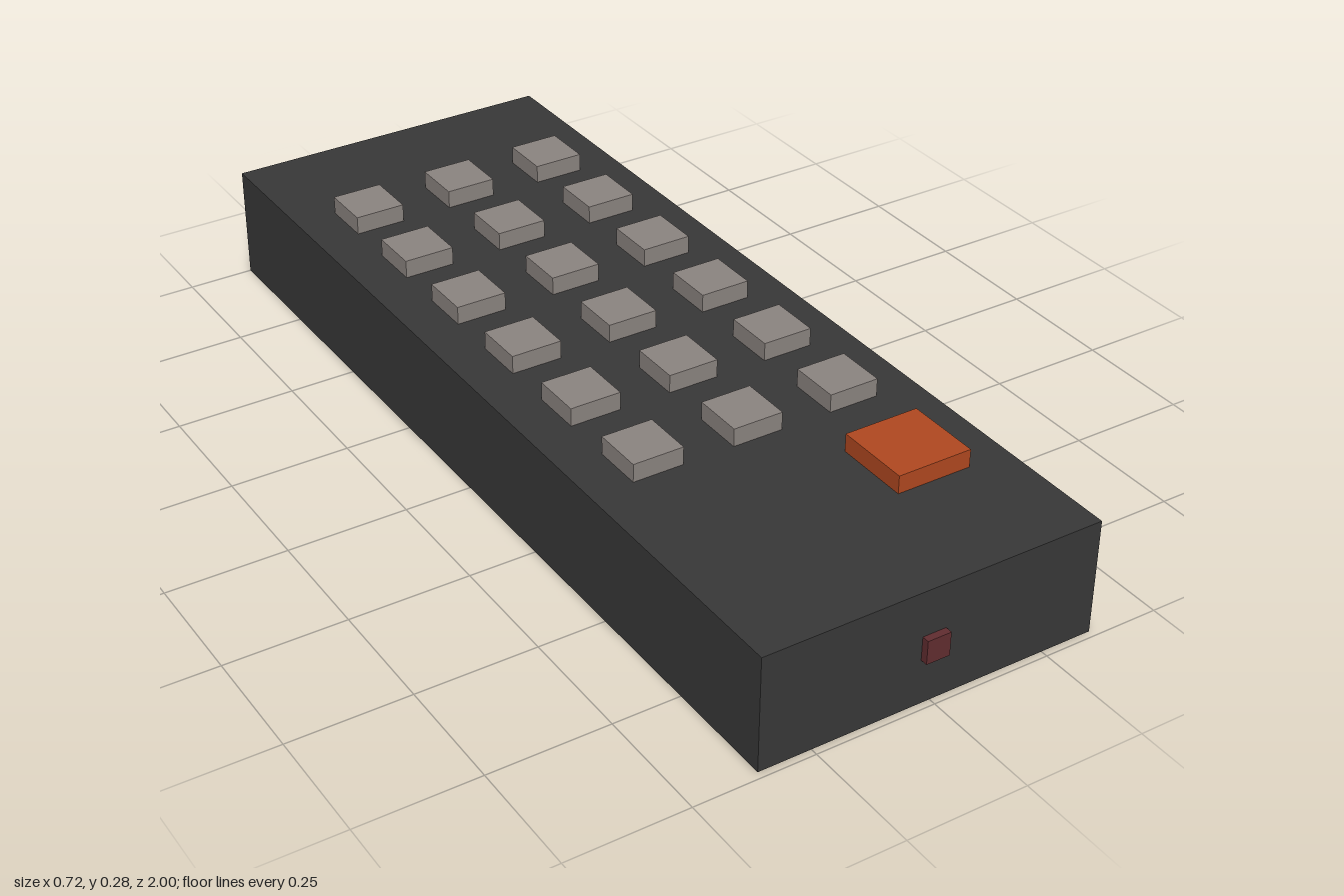
import * as THREE from 'three';

const material = (name, color) => {
  const m = new THREE.MeshStandardMaterial({ color });
  m.name = name;
  return m;
};

// Closed rectangle in plan, counter-clockwise; z is negated because the extrusion is turned upright
const rect = (Type, x, z0, z1) => new Type([
  new THREE.Vector2(-x, -z1), new THREE.Vector2(x, -z1),
  new THREE.Vector2(x, -z0), new THREE.Vector2(-x, -z0),
]);

export function createModel() {
  const casing = material('charcoal casing', 0x383838);
  const grey = material('warm grey keys', 0x8b8480);
  const orange = material('orange key', 0xb04820);
  const red = material('dark red emitter', 0x612d30);

  const model = new THREE.Group();
  model.name = 'remoteControl';

  const add = (parent, name, geometry, mat, x, y, z) => {
    const mesh = new THREE.Mesh(geometry, mat);
    mesh.name = name;
    mesh.position.set(x, y, z);
    parent.add(mesh);
  };

  const halfWidth = 0.36, back = -1, front = 0.985, top = 0.242, recess = 0.17;

  // Casing: lower shell with the open battery recess, closed by a top slab
  const body = new THREE.Group();
  body.name = 'body';
  model.add(body);
  const outline = rect(THREE.Shape, halfWidth, back, front);
  outline.holes.push(rect(THREE.Path, 0.22, -0.87, -0.15));
  const shell = new THREE.ExtrudeGeometry(outline, { depth: recess, bevelEnabled: false });
  shell.rotateX(-Math.PI / 2);
  add(body, 'lowerShell', shell, casing, 0, 0, 0);
  const slab = new THREE.BoxGeometry(2 * halfWidth, top - recess, front - back);
  add(body, 'topSlab', slab, casing, 0, (top + recess) / 2, (front + back) / 2);

  // Key grid: three columns by six rows
  const keys = new THREE.Group();
  keys.name = 'keys';
  model.add(keys);
  const keyHeight = 0.038, keyY = top + keyHeight / 2;
  const key = new THREE.BoxGeometry(0.107, keyHeight, 0.107);
  for (let row = 0; row < 6; row++) {
    for (let col = -1; col <= 1; col++) {
      add(keys, 'key', key, grey, col * 0.216, keyY, -0.678 + row * 0.215);
    }
  }

  // Power key and the emitter on the front end
  add(model, 'powerKey', new THREE.BoxGeometry(0.16, keyHeight, 0.16), orange, 0.189, keyY, 0.65);
  add(model, 'emitter', new THREE.BoxGeometry(0.05, 0.05, 0.015), red, 0, 0.121, 0.9925);

  return model;
}
